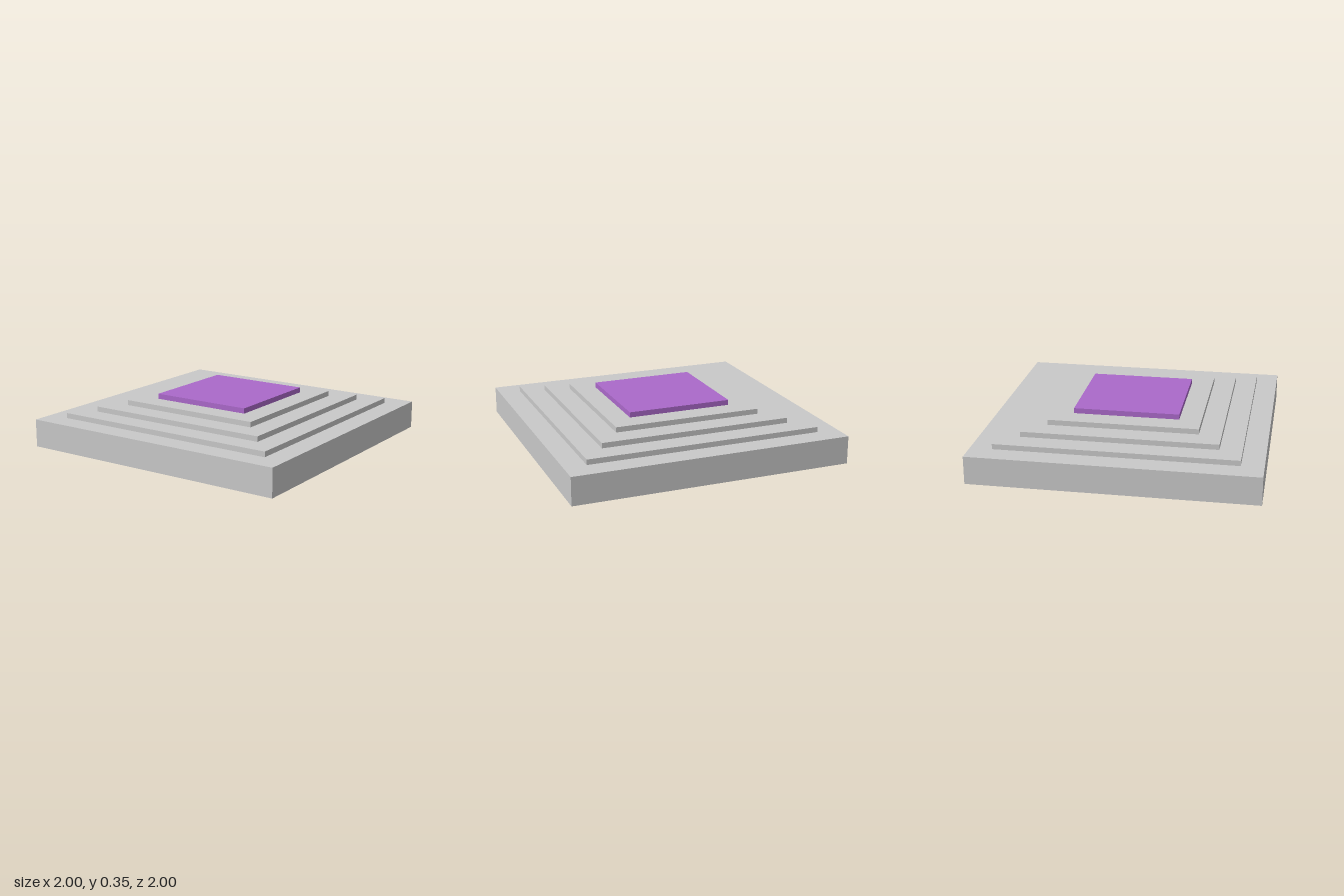
import * as THREE from 'three';

export function createModel() {
  const group = new THREE.Group();
  const stone = new THREE.MeshStandardMaterial({ color: 0xc9c9c9 });
  stone.name = 'light grey stone';
  const purple = new THREE.MeshStandardMaterial({ color: 0xab69ca });
  purple.name = 'purple';

  // One square slab resting at height y
  const slab = (name, width, height, y, material) => {
    const mesh = new THREE.Mesh(new THREE.BoxGeometry(width, height, width), material);
    mesh.name = name;
    mesh.position.y = y + height / 2;
    group.add(mesh);
  };

  // Thick base, three thin steps and the coloured top pad
  const baseHeight = 0.2, stepHeight = 0.0375, inset = 0.3125;
  slab('base', 2, baseHeight, 0, stone);
  for (let i = 1; i <= 4; i++) {
    const top = i === 4;
    slab(top ? 'topPad' : `step${i}`, 2 - i * inset, stepHeight,
      baseHeight + (i - 1) * stepHeight, top ? purple : stone);
  }
  return group;
}
